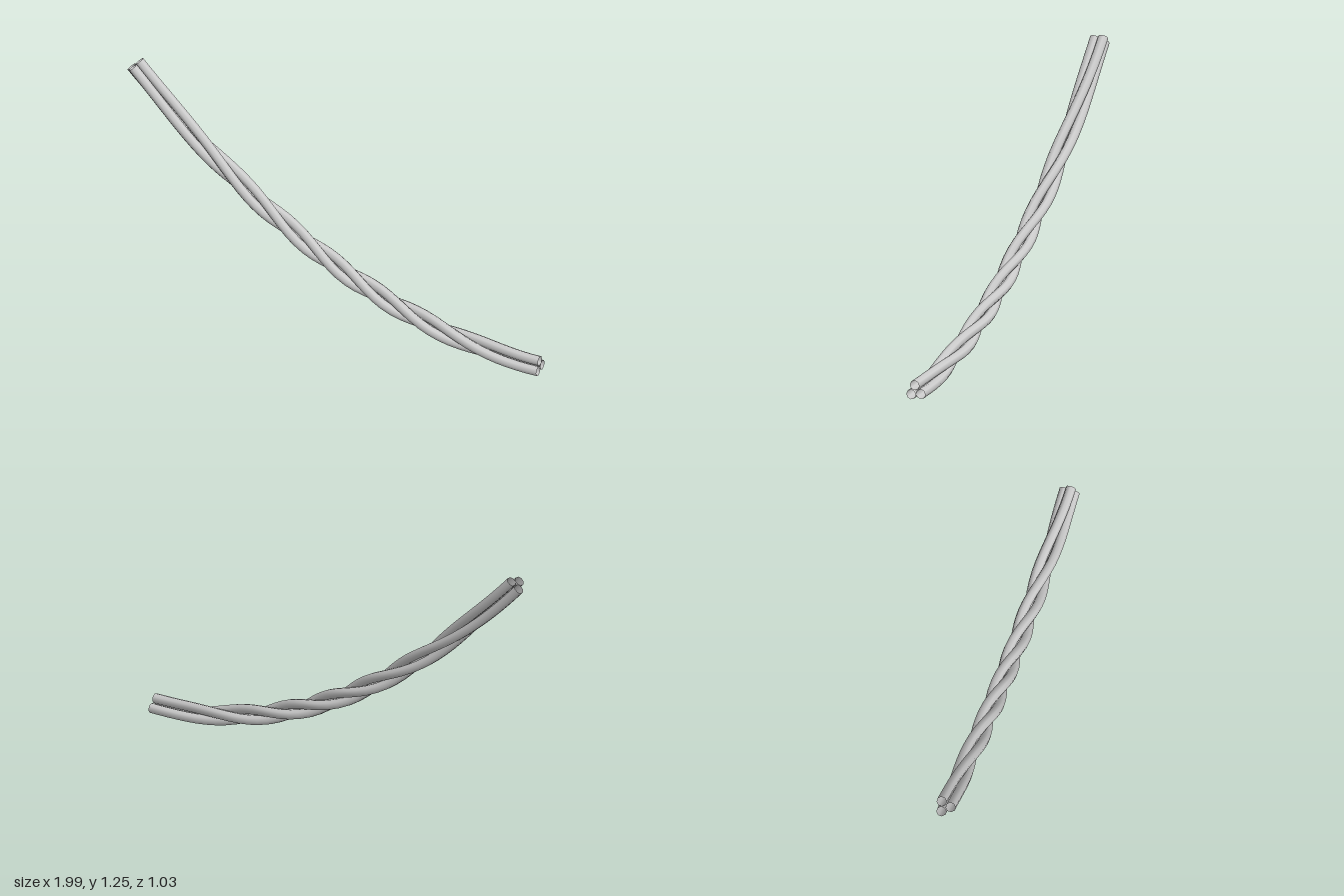
import * as THREE from 'three';

const STRANDS = 3;
const OFFSET = 0.03;   // strand centre to cable centreline
const RADIUS = 0.025;  // strand thickness
const START = THREE.MathUtils.degToRad(79);
const TWIST = THREE.MathUtils.degToRad(770);

// Sagging centreline of the whole cable
const centreline = new THREE.QuadraticBezierCurve3(
  new THREE.Vector3(-0.962, 1.222, -0.478),
  new THREE.Vector3(0.005, 0.055, 0),
  new THREE.Vector3(0.97, 0.047, 0.47)
);

// One strand winding round the centreline, easing to parallel at both ends
class StrandCurve extends THREE.Curve {
  constructor(phase) {
    super();
    this.phase = phase;
  }
  getPoint(t, target = new THREE.Vector3()) {
    const tangent = centreline.getTangent(t);
    const side = new THREE.Vector3(-tangent.z, 0, tangent.x).normalize();
    const up = side.clone().cross(tangent);
    const angle = START + this.phase + TWIST * THREE.MathUtils.smoothstep(t, 0, 1);
    return target.copy(centreline.getPoint(t))
      .addScaledVector(up, OFFSET * Math.cos(angle))
      .addScaledVector(side, OFFSET * Math.sin(angle));
  }
}

export function createModel() {
  const cable = new THREE.Group();
  cable.name = 'twistedCable';
  const material = new THREE.MeshStandardMaterial({ color: 0xcccccc, side: THREE.DoubleSide });

  // Three open-ended strands, a third of a turn apart
  for (let i = 0; i < STRANDS; i++) {
    const curve = new StrandCurve((i * 2 * Math.PI) / STRANDS);
    const strand = new THREE.Mesh(new THREE.TubeGeometry(curve, 48, RADIUS, 8, false), material);
    strand.name = `strand${i + 1}`;
    cable.add(strand);
  }
  return cable;
}
